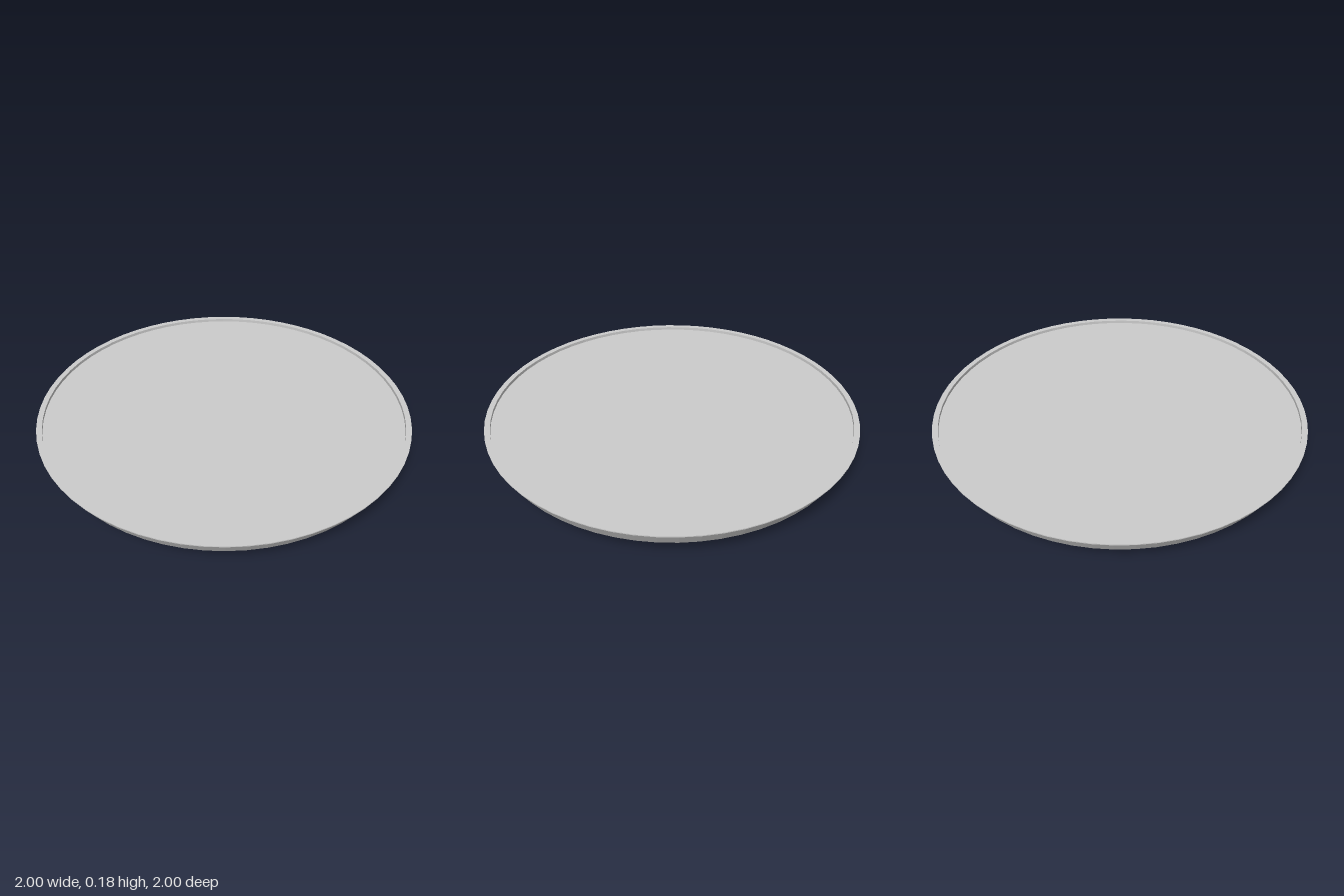
import * as THREE from 'three';

const SEGMENTS = 64;

// Turns a [radius, height] profile into a faceted round surface
function turned(name, profile, material) {
  const points = profile.map(([r, y]) => new THREE.Vector2(r, y));
  const mesh = new THREE.Mesh(new THREE.LatheGeometry(points, SEGMENTS), material);
  mesh.name = name;
  return mesh;
}

export function createModel() {
  const group = new THREE.Group();
  group.name = 'roundTray';
  const material = new THREE.MeshStandardMaterial({ color: 0xcccccc, flatShading: true });

  // Flat base with a shallow flared underside
  group.add(turned('base', [[0, 0], [0.71, 0], [0.955, 0.1]], material));

  // Steeper outer wall, narrow flat lip and the short drop inside it
  group.add(turned('rim', [[0.955, 0.1], [1, 0.175], [1, 0.18], [0.97, 0.18], [0.97, 0.163]], material));

  // Flat inner surface, slightly sunk below the lip
  group.add(turned('floor', [[0.97, 0.163], [0, 0.163]], material));

  return group;
}
